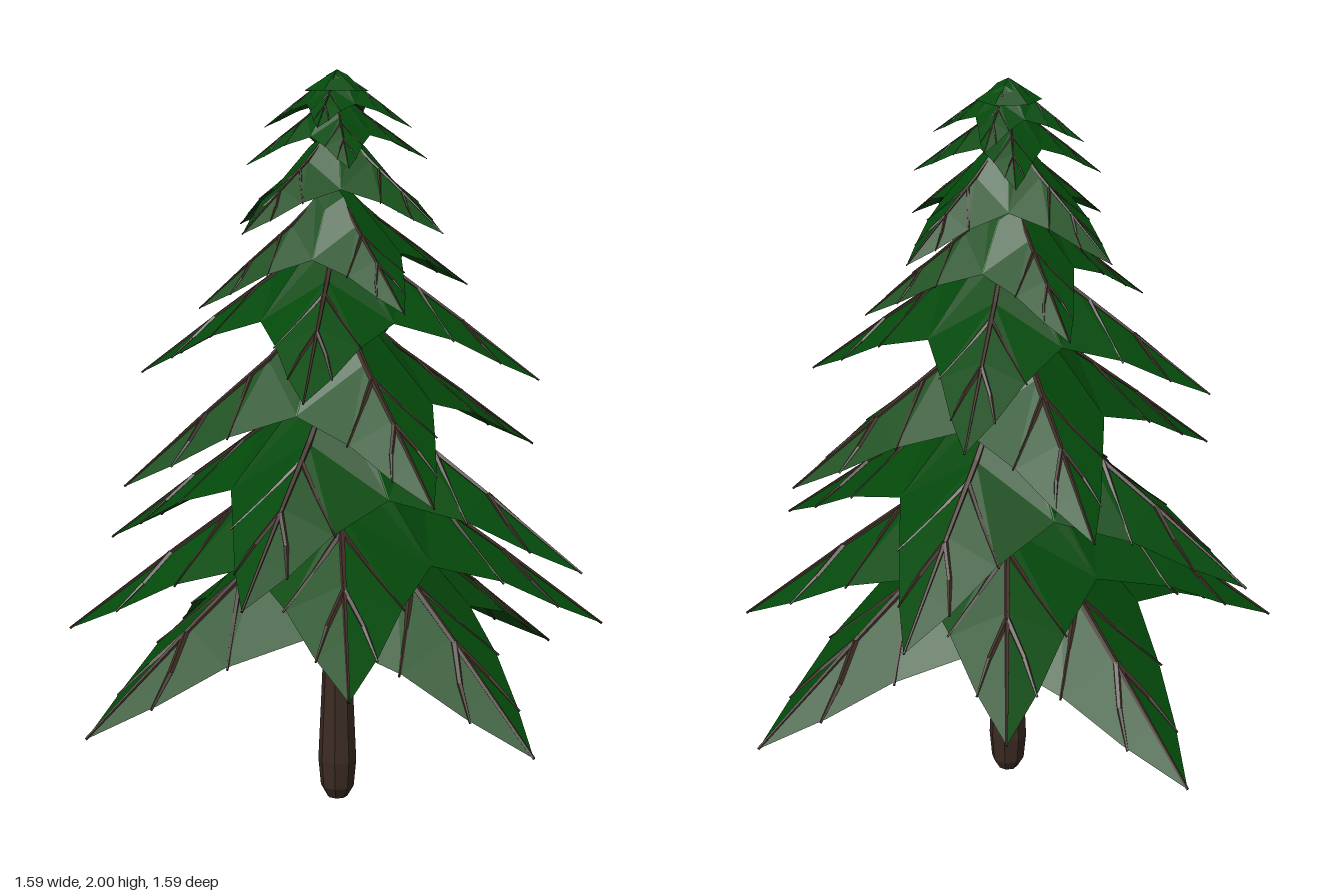
import * as THREE from 'three';

const leafMat = new THREE.MeshStandardMaterial({ color: 0x04490b, flatShading: true, side: THREE.DoubleSide });
const barkMat = new THREE.MeshStandardMaterial({ color: 0x3b2a22, flatShading: true });

// Tiers from bottom to top: reach, height of the tips, turn in degrees, lean about z
const TIERS = [
  [0.795, 0.33, 0, 0],
  [0.73, 0.50, 35, 0],
  [0.68, 0.70, -33, 0],
  [0.60, 0.95, 14, 0.035],
  [0.54, 1.19, 46, 0],
  [0.395, 1.405, 12, 0.05],
  [0.36, 1.585, -11, 0],
  [0.24, 1.76, 30, 0.05],
  [0.20, 1.85, -38, 0],
];

// Frond sections per unit of reach: distance out, ridge height, half width, edge height
const SECTIONS = [
  [0.00, 0.75, 0.00, 0.75],
  [0.14, 0.68, 0.145, 0.60],
  [0.32, 0.50, 0.325, 0.30],
  [0.60, 0.30, 0.20, 0.21],
  [0.80, 0.15, 0.11, 0.10],
  [1.00, 0.00, 0.00, 0.00],
];

// Point on the frond: t runs outwards, s from one edge (-1) over the ridge (0) to the other (1)
function frondPoint(t, s) {
  let i = 0;
  while (i < SECTIONS.length - 2 && t > SECTIONS[i + 1][0]) i++;
  const a = SECTIONS[i], b = SECTIONS[i + 1];
  const k = (t - a[0]) / (b[0] - a[0]);
  const [, ridge, width, edge] = a.map((v, j) => v + (b[j] - v) * k);
  return new THREE.Vector3(t, ridge + (edge - ridge) * Math.abs(s), width * s);
}

// Folded needle surface made of two strips along the ridge, pointed at both ends
function frondGeometry() {
  const pos = [], index = [], last = SECTIONS.length - 2;
  for (const [t] of SECTIONS) {
    for (const s of [-1, 0, 1]) pos.push(...frondPoint(t, s).toArray());
  }
  for (let i = 0; i <= last; i++) {
    for (let j = 0; j < 2; j++) {
      const a = i * 3 + j, b = a + 1, c = a + 3, d = a + 4;
      // the left half is split the mirrored way
      if (j === 0) {
        if (i > 0) index.push(a, b, c);
        if (i < last) index.push(b, d, c);
      } else {
        if (i > 0) index.push(a, b, d);
        if (i < last) index.push(a, d, c);
      }
    }
  }
  const geo = new THREE.BufferGeometry();
  geo.setAttribute('position', new THREE.Float32BufferAttribute(pos, 3));
  geo.setIndex(index);
  geo.computeVertexNormals();
  return geo;
}

// Tapered stick between two points
function stick(name, from, to, r0, r1) {
  const dir = to.clone().sub(from);
  const mesh = new THREE.Mesh(new THREE.CylinderGeometry(r1, r0, dir.length(), 5), barkMat);
  mesh.name = name;
  mesh.position.copy(from).addScaledVector(dir, 0.5);
  mesh.quaternion.setFromUnitVectors(new THREE.Vector3(0, 1, 0), dir.normalize());
  return mesh;
}

// One bough of unit reach: needles, central branch and side twigs
function makeBough(needles) {
  const bough = new THREE.Group();
  bough.name = 'bough';
  const leaf = new THREE.Mesh(needles, leafMat);
  leaf.name = 'needles';
  bough.add(leaf);

  const stops = [0.03, 0.14, 0.32, 0.6, 1.0];
  const radius = (t) => 0.005 + 0.013 * (1 - t);
  for (let i = 0; i < stops.length - 1; i++) {
    const [a, b] = [stops[i], stops[i + 1]];
    const from = frondPoint(a, 0), to = frondPoint(b, 0);
    // the inner branch runs just under the needles
    if (a < 0.3) from.y -= 0.03;
    if (b < 0.3) to.y -= 0.03;
    bough.add(stick('branch', from, to, radius(a), radius(b)));
  }
  for (const side of [-1, 1]) {
    for (const [t0, t1] of [[0.4, 0.6], [0.62, 0.82]]) {
      const mid = (t0 + t1) / 2;
      const pts = [frondPoint(t0, 0), frondPoint(mid, side * 0.42), frondPoint(t1, side * 1.05)];
      bough.add(stick('twig', pts[0], pts[1], 0.012, 0.010));
      bough.add(stick('twig', pts[1], pts[2], 0.010, 0.004));
    }
  }
  return bough;
}

export function createModel() {
  const tree = new THREE.Group();
  tree.name = 'firTree';

  // Trunk
  const profile = [[0, 0.005], [0.028, 0.014], [0.046, 0.045], [0.053, 0.12], [0.042, 0.36],
    [0.03, 0.9], [0.018, 1.5], [0, 1.96]].map(([x, y]) => new THREE.Vector2(x, y));
  const trunk = new THREE.Mesh(new THREE.LatheGeometry(profile, 8), barkMat);
  trunk.name = 'trunk';
  trunk.position.x = -0.005;
  tree.add(trunk);

  // Tiers of four boughs
  const needles = frondGeometry();
  TIERS.forEach(([reach, tipY, turn, lean], n) => {
    const tier = new THREE.Group();
    tier.name = `tier${n + 1}`;
    tier.position.set(-0.005, tipY, 0);
    tier.rotation.set(lean / 2, 0, lean);
    for (let k = 0; k < 4; k++) {
      const bough = makeBough(needles);
      bough.scale.setScalar(reach);
      bough.rotation.y = -THREE.MathUtils.degToRad(turn + 90 * k);
      tier.add(bough);
    }
    tree.add(tier);
  });

  // Small pointed cap at the top
  const cap = new THREE.Mesh(new THREE.ConeGeometry(0.085, 0.055, 6, 1, true), leafMat);
  cap.name = 'treetop';
  cap.position.set(-0.008, 1.9725, 0);
  tree.add(cap);
  return tree;
}
